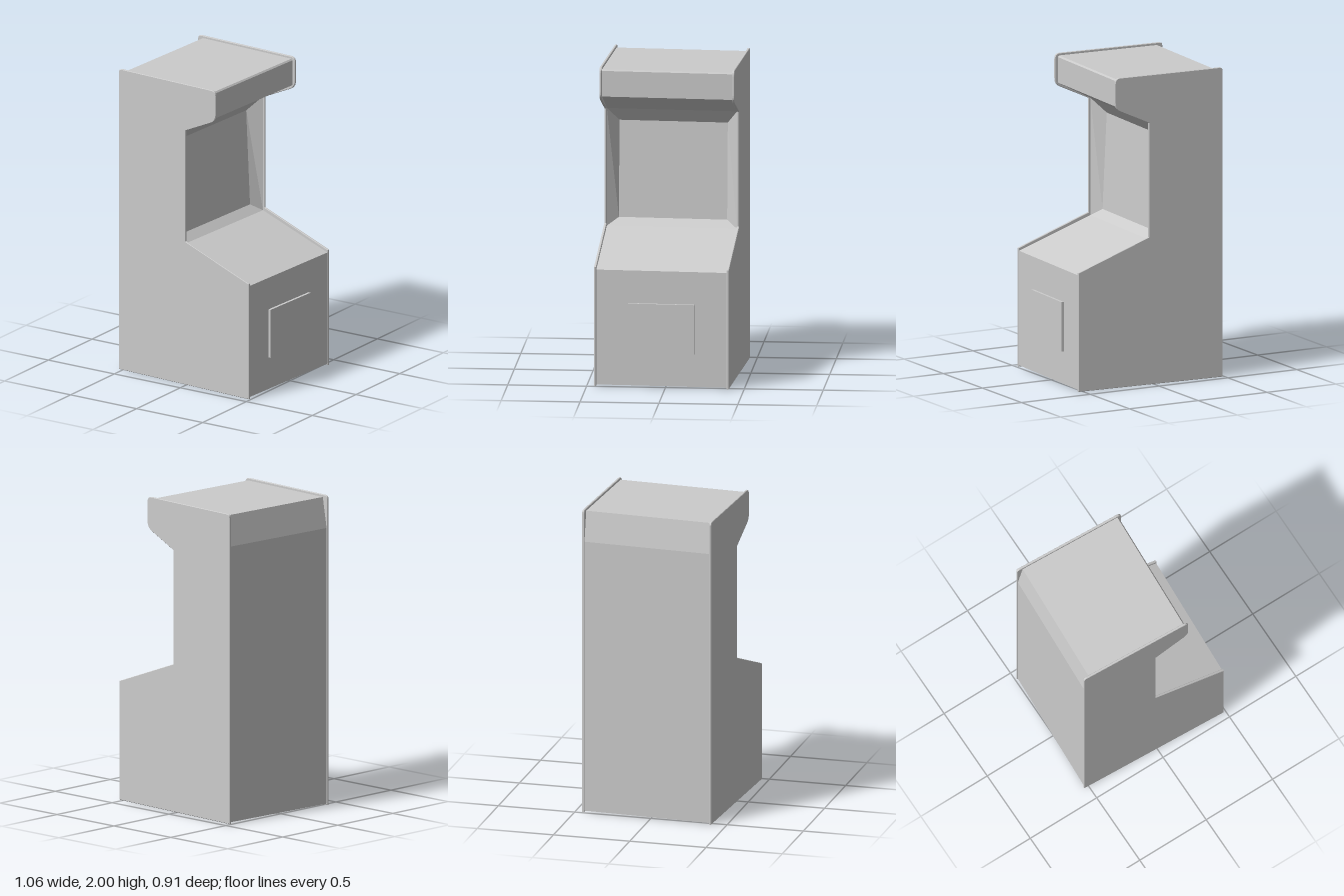
import * as THREE from 'three';

const HALF_W = 0.43;   // outside of the side panels
const PANEL = 0.015;   // side panel thickness
const INNER = HALF_W - PANEL;

const grey = new THREE.MeshStandardMaterial({ color: 0xcccccc, flatShading: true });
const sheet = new THREE.MeshStandardMaterial({ color: 0xcccccc, flatShading: true, side: THREE.DoubleSide });

function add(parent, name, geometry, material) {
  const mesh = new THREE.Mesh(geometry, material);
  mesh.name = name;
  parent.add(mesh);
  return mesh;
}

// Flat quads, each given by four corners counter-clockwise from its front
function quads(list) {
  const pos = [];
  for (const [a, b, c, d] of list) pos.push(...a, ...b, ...c, ...a, ...c, ...d);
  const g = new THREE.BufferGeometry();
  g.setAttribute('position', new THREE.Float32BufferAttribute(pos, 3));
  g.computeVertexNormals();
  return g;
}

// Sheet spanning the cabinet's width along a side profile
function strip(points) {
  const list = [];
  for (let i = 0; i + 1 < points.length; i++) {
    const [x0, y0] = points[i], [x1, y1] = points[i + 1];
    list.push([[x0, y0, INNER], [x0, y0, -INNER], [x1, y1, -INNER], [x1, y1, INNER]]);
  }
  return quads(list);
}

// Cabinet outline seen from the side
function panelGeometry() {
  const s = new THREE.Shape();
  s.moveTo(-0.51, 0);
  s.lineTo(0.51, 0);
  s.lineTo(0.51, 0.768);
  s.lineTo(0.012, 0.952);
  s.lineTo(0.012, 1.69);
  s.lineTo(0.215, 1.783);
  s.quadraticCurveTo(0.25, 1.8, 0.25, 1.84);
  s.lineTo(0.25, 1.965);
  s.quadraticCurveTo(0.25, 2, 0.215, 2);
  s.lineTo(-0.488, 2);
  s.quadraticCurveTo(-0.51, 2, -0.51, 1.978);
  s.closePath();
  const bevel = 0.003;
  const g = new THREE.ExtrudeGeometry(s, {
    depth: PANEL - 2 * bevel, curveSegments: 5,
    bevelEnabled: true, bevelThickness: bevel, bevelSize: bevel, bevelOffset: -bevel, bevelSegments: 1,
  });
  return g.translate(0, 0, bevel);
}

export function createModel() {
  const model = new THREE.Group();
  model.name = 'arcadeCabinet';
  const cabinet = new THREE.Group();
  cabinet.name = 'cabinet';
  cabinet.rotation.y = -0.05;
  model.add(cabinet);

  // Side panels
  const panel = panelGeometry();
  add(cabinet, 'rightPanel', panel, grey).position.z = INNER;
  add(cabinet, 'leftPanel', panel, grey).position.z = -HALF_W;

  // Body sheets between the panels, open underneath
  add(cabinet, 'frontPanel', strip([[0.505, 0.01], [0.505, 0.75]]), sheet);
  add(cabinet, 'controlDeck', strip([[0.505, 0.75], [0, 0.932]]), sheet);
  add(cabinet, 'marquee', strip([[0, 1.69], [0.23, 1.81], [0.23, 1.975], [0.222, 1.985]]), sheet);
  add(cabinet, 'roof', strip([[0.222, 1.985], [-0.47, 1.985]]), sheet);
  add(cabinet, 'backPanel', strip([[-0.47, 1.985], [-0.505, 1.79], [-0.505, 0.01]]), sheet);

  // Recessed screen with a sloping surround
  const outer = [[0, 0.932, INNER], [0, 0.932, -INNER], [0, 1.69, -INNER], [0, 1.69, INNER]];
  const inner = [[-0.05, 0.98, 0.345], [-0.05, 0.98, -0.345], [-0.08, 1.6, -0.345], [-0.08, 1.6, 0.345]];
  const surround = outer.map((p, i) => {
    const j = (i + 1) % 4;
    return [p, outer[j], inner[j], inner[i]];
  });
  add(cabinet, 'screenSurround', quads(surround), sheet);
  add(cabinet, 'screen', quads([inner]), sheet);

  // Coin door
  const door = new THREE.BoxGeometry(0.022, 0.32, 0.425);
  add(cabinet, 'coinDoor', door, grey).position.set(0.511, 0.38, 0);

  return model;
}
